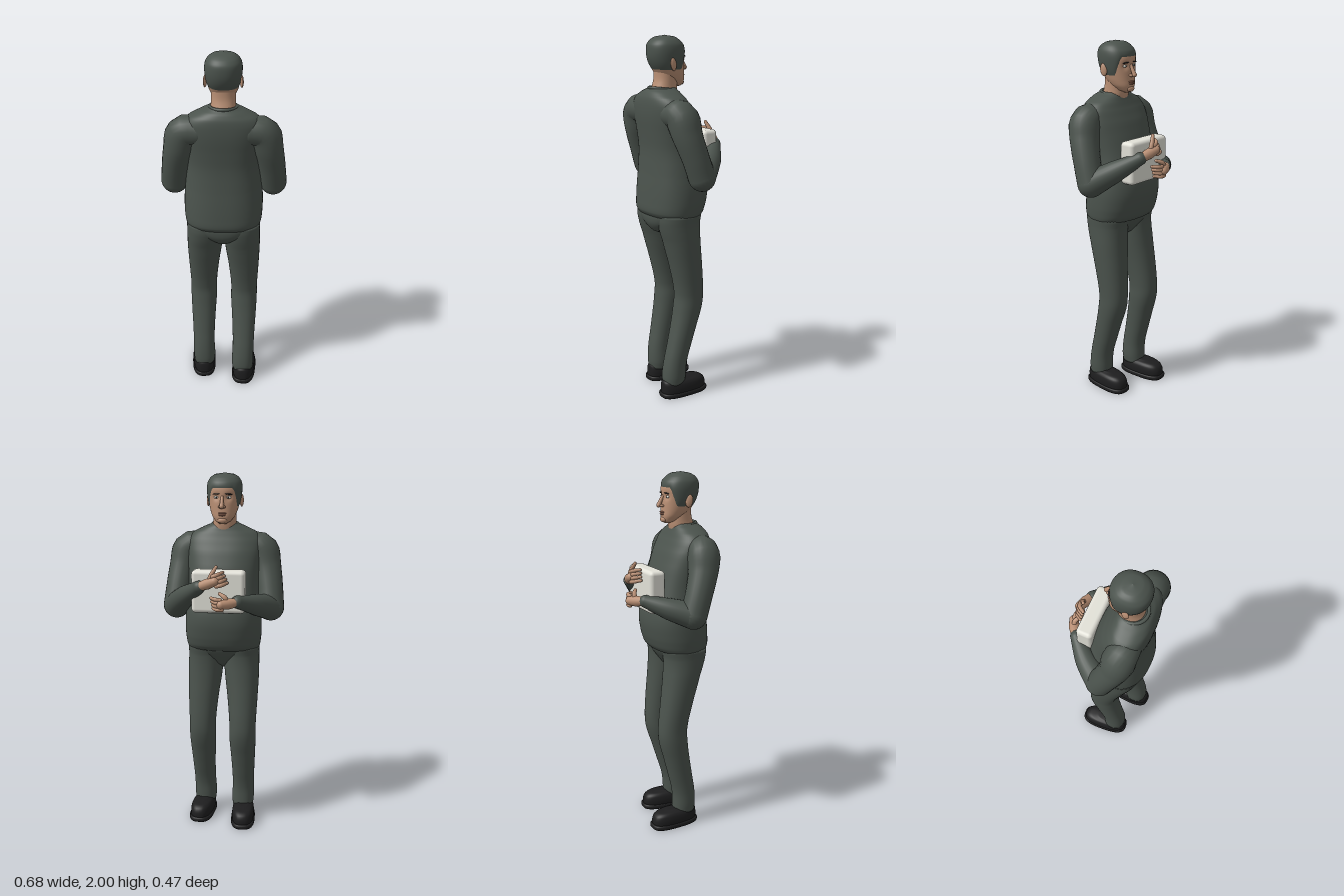
import * as THREE from 'three';
import { RoundedBoxGeometry } from 'three/addons/geometries/RoundedBoxGeometry.js';

const cat = (a, b, c, d, f) =>
  b + 0.5 * f * (c - a + f * (2 * a - 5 * b + 4 * c - d + f * (3 * (b - c) + d - a)));

// Section at height y from rows of [y, centreX, halfWidth, zBack, zFront]
function sectionAt(rows, y) {
  const last = rows.length - 1;
  let i = 0;
  while (i < last - 1 && y > rows[i + 1][0]) i++;
  const f = THREE.MathUtils.clamp((y - rows[i][0]) / (rows[i + 1][0] - rows[i][0]), 0, 1);
  const r = k => rows[THREE.MathUtils.clamp(k, 0, last)];
  return [1, 2, 3, 4].map(c => cat(r(i - 1)[c], r(i)[c], r(i + 1)[c], r(i + 2)[c], f));
}

// Point on a rounded-oval section; angle 0 faces -z
function ovalPoint(rows, y, a, n, pad = 0) {
  const [cx, hw, zb, zf] = sectionAt(rows, y);
  const bend = v => Math.sign(v) * Math.pow(Math.abs(v), 2 / n);
  return [cx + (Math.max(hw, 0) + pad) * bend(Math.sin(a)), y,
    (zb + zf) / 2 - (Math.abs(zb - zf) / 2 + pad) * bend(Math.cos(a))];
}

// Closed-round surface from a point function (row, angle), rows running upward
function skinSurface(count, sides, pointAt, capped) {
  const pos = [], idx = [];
  for (let i = 0; i < count; i++)
    for (let j = 0; j < sides; j++) pos.push(...pointAt(i, j / sides * Math.PI * 2));
  for (let i = 0; i < count - 1; i++)
    for (let j = 0; j < sides; j++) {
      const k = (j + 1) % sides, a = i * sides + j, b = i * sides + k;
      idx.push(a, a + sides, b, b, a + sides, b + sides);
    }
  if (capped) for (const row of [0, count - 1]) {
    const c = [0, 0, 0], base = row * sides, centre = pos.length / 3;
    for (let j = 0; j < sides; j++) for (let k = 0; k < 3; k++) c[k] += pos[(base + j) * 3 + k] / sides;
    pos.push(...c);
    for (let j = 0; j < sides; j++) {
      const a = base + j, b = base + (j + 1) % sides;
      if (row) idx.push(centre, b, a); else idx.push(centre, a, b);
    }
  }
  const g = new THREE.BufferGeometry();
  g.setAttribute('position', new THREE.Float32BufferAttribute(pos, 3));
  g.setIndex(idx);
  g.computeVertexNormals();
  return g;
}

function loft(rows, n = 2.2, sides = 40, steps = 4, warp = p => p) {
  const ys = [];
  for (let i = 0; i < rows.length - 1; i++)
    for (let k = 0; k < steps; k++) ys.push(rows[i][0] + (rows[i + 1][0] - rows[i][0]) * k / steps);
  ys.push(rows[rows.length - 1][0]);
  return skinSurface(ys.length, sides, (i, a) => warp(ovalPoint(rows, ys[i], a, n)), true);
}

export function createModel() {
  const model = new THREE.Group();
  const mat = (name, color, side = THREE.FrontSide) =>
    Object.assign(new THREE.MeshStandardMaterial({ color, side }), { name });
  const cloth = mat('dark grey green', 0x4b534d, THREE.DoubleSide);
  const skin = mat('skin', 0xb98f74);
  const lipTone = mat('lip', 0x9c6c58);
  const black = mat('shoe black', 0x1e1e1f);
  const white = mat('off white', 0xe2e1d8);

  const add = (name, geo, m, parent = model) => {
    const mesh = new THREE.Mesh(geo, m);
    mesh.name = name;
    parent.add(mesh);
    return mesh;
  };
  const ball = (name, m, [x, y, z], [rx, ry, rz], parent = model) => {
    const b = add(name, new THREE.SphereGeometry(1, 24, 16), m, parent);
    b.position.set(x, y, z);
    b.scale.set(rx, ry, rz);
    return b;
  };
  // Tapered tube with round ends through [x, y, z, radius] points
  const limb = (name, m, pts, parent = model, seg = 20, sides = 24) => {
    const group = new THREE.Group();
    group.name = name;
    parent.add(group);
    const curve = new THREE.CatmullRomCurve3(pts.map(p => new THREE.Vector3(p[0], p[1], p[2])));
    const geo = new THREE.TubeGeometry(curve, seg, 1, sides);
    const p = geo.attributes.position, v = new THREE.Vector3();
    for (let i = 0; i < p.count; i++) {
      const u = Math.floor(i / (sides + 1)) / seg, t = u * (pts.length - 1);
      const k = Math.min(Math.floor(t), pts.length - 2), c = curve.getPointAt(u);
      const r = THREE.MathUtils.lerp(pts[k][3], pts[k + 1][3], t - k);
      v.fromBufferAttribute(p, i).sub(c).multiplyScalar(r).add(c);
      p.setXYZ(i, v.x, v.y, v.z);
    }
    add(name + 'Tube', geo, m, group);
    for (const e of [pts[0], pts[pts.length - 1]]) ball(name + 'End', m, e, [e[3], e[3], e[3]], group);
  };

  // Sweater body with a round belly
  add('torso', loft([
    [1.03, 0, .18, .185, -.035], [1.045, 0, .2, .215, -.07], [1.07, 0, .207, .23, -.09],
    [1.12, 0, .212, .23, -.106], [1.2, 0, .212, .225, -.118], [1.28, 0, .205, .218, -.11],
    [1.4, 0, .195, .212, -.08], [1.5, 0, .2, .22, -.05], [1.58, 0, .208, .228, -.02],
    [1.64, 0, .205, .228, .01], [1.68, 0, .175, .222, .03], [1.71, 0, .115, .207, .042],
    [1.73, 0, .072, .185, .05]], 2.35, 56), cloth);
  const collar = add('collar', new THREE.TorusGeometry(.07, .009, 12, 40), cloth);
  collar.position.set(0, 1.722, .115);
  collar.rotation.x = Math.PI / 2 - .1;

  // Trousers
  add('pelvis', loft([[.925, 0, .015, .12, .04], [.95, 0, .06, .175, 0], [.99, 0, .135, .205, -.03],
    [1.03, 0, .187, .214, -.055], [1.06, 0, .2, .212, -.065]]), cloth);
  for (const s of [1, -1]) {
    const side = s > 0 ? 'left' : 'right';
    const shift = y => s > 0 ? 0 : -.06 * (1 - Math.min(1, y));
    const rows = [[.075, .115, .06, .188, .06], [.12, .115, .064, .19, .058], [.2, .117, .062, .18, .05],
      [.3, .118, .064, .157, .02], [.42, .118, .07, .13, -.018], [.52, .117, .075, .112, -.05],
      [.6, .117, .075, .106, -.058], [.75, .113, .085, .132, -.05], [.9, .105, .097, .168, -.04],
      [1, .1, .1, .195, -.04], [1.055, .1, .102, .2, -.05]]
      .map(([y, cx, hw, zb, zf]) => [y, s * cx, hw, zb + shift(y), zf + shift(y)]);
    add(side + 'Leg', loft(rows), cloth);

    // Shoes, toes turned slightly out
    const shoe = new THREE.Group();
    shoe.name = side + 'Shoe';
    shoe.position.set(s * .123, 0, .065 + shift(0));
    shoe.rotation.y = -s * .07;
    model.add(shoe);
    add('sole', loft([[0, 0, .066, .142, -.14], [.006, 0, .069, .145, -.144],
      [.02, 0, .069, .145, -.144], [.026, 0, .064, .14, -.138]], 2.9, 40, 2), black, shoe);
    add('shoeUpper', loft([[.02, 0, .062, .138, -.135], [.05, 0, .064, .138, -.135],
      [.075, 0, .06, .136, -.125], [.09, 0, .05, .132, -.1], [.1, 0, .03, .12, -.04]], 2.6), black, shoe);

    // Sleeves
    const wristY = s > 0 ? 1.415 : 1.34;
    limb(side + 'UpperArm', cloth, [[s * .13, 1.6, .138, .075], [s * .2, 1.593, .132, .088],
      [s * .232, 1.5, .117, .077], [s * .255, 1.38, .08, .072], [s * .265, 1.275, .045, .073]]);
    limb(side + 'Forearm', cloth, [[s * .265, 1.275, .045, .073],
      [s * .195, (1.275 + wristY) / 2, -.06, .058], [s * .103, wristY, -.158, .034]]);
  }

  // Hands folded in front of the case
  const hand = (name, wrist, palm, knuckle, tip, step, thumb) => {
    const g = new THREE.Group();
    g.name = name;
    model.add(g);
    limb('palm', skin, [[...wrist, .023], [...palm, .029], [...knuckle, .024]], g, 12, 16);
    for (let i = 0; i < 4; i++) {
      const o = step.map(v => v * (i - 1.5));
      const at = (p, k) => p.map((v, c) => v + o[c] * k);
      const mid = knuckle.map((v, c) => (v + tip[c]) / 2 + (c === 2 ? -.014 : 0));
      limb('finger', skin, [[...at(knuckle, .9), .012], [...at(mid, 1), .0105], [...at(tip, 1), .0085]], g, 10, 10);
    }
    limb('thumb', skin, [[...palm, .014], [...thumb[0], .013], [...thumb[1], .009]], g, 10, 10);
  };
  hand('leftHand', [.1, 1.418, -.165], [.05, 1.438, -.18], [.015, 1.452, -.19], [-.035, 1.468, -.155],
    [.008, .018, .002], [[.035, 1.48, -.18], [.01, 1.525, -.166]]);
  hand('rightHand', [-.1, 1.34, -.165], [-.058, 1.335, -.192], [-.022, 1.332, -.212], [.028, 1.335, -.185],
    [.004, .018, .002], [[-.04, 1.37, -.195], [-.01, 1.385, -.175]]);

  // Rounded case
  add('case', new RoundedBoxGeometry(.29, .23, .09, 4, .022), white).position.set(.005, 1.385, -.1);

  // Neck and head
  add('neck', loft([[1.64, 0, .08, .19, .05], [1.72, 0, .066, .172, .035],
    [1.77, 0, .063, .156, .035], [1.83, 0, .064, .155, .03]]), skin);
  const headRows = [[1.733, 0, .02, .035, .004], [1.745, 0, .04, .075, -.008], [1.77, 0, .06, .115, -.012],
    [1.8, 0, .073, .148, -.01], [1.84, 0, .083, .172, -.008], [1.88, 0, .088, .186, -.009],
    [1.92, 0, .09, .19, -.006], [1.95, 0, .085, .186, .006], [1.972, 0, .07, .168, .028],
    [1.987, 0, .046, .14, .055], [1.994, 0, 0, .1, .098]];
  const sockets = ([x, y, z]) => {
    const d = ((Math.abs(x) - .033) ** 2 + (y - 1.874) ** 2) / .00035;
    return [x, y, z < .06 ? z + .011 * Math.exp(-d) : z];
  };
  add('head', loft(headRows, 2.2, 64, 5, sockets), skin);

  // Hair shell with a shaped hairline: high at the forehead, low at the nape
  const hairline = a => {
    const t = THREE.MathUtils.smoothstep(Math.min(a, 2 * Math.PI - a), .55, 1.25);
    return 1.922 - .098 * t;
  };
  add('hair', skinSurface(31, 64, (i, a) => {
    const u = 1 - i / 30, y = 1.994 - (1.994 - hairline(a)) * u * u;
    const pad = .006 * (1 - u ** 10);
    const p = ovalPoint(headRows, y, a, 2.2, pad * Math.min(1, u * 4));
    return [p[0], y + pad * (1 - u), p[2]];
  }, false), cloth);

  // Face
  limb('nose', skin, [[0, 1.875, -.006, .008], [0, 1.85, -.019, .01], [0, 1.828, -.03, .0125]], model, 10, 16);
  ball('upperLip', lipTone, [0, 1.791, -.011], [.023, .005, .009]);
  ball('lowerLip', lipTone, [0, 1.781, -.011], [.019, .006, .009]);
  ball('chin', skin, [0, 1.752, -.003], [.026, .016, .014]);
  for (const s of [1, -1]) {
    ball('nostril', skin, [s * .011, 1.825, -.016], [.009, .008, .012]);
    ball('eye', white, [s * .033, 1.873, .008], [.014, .007, .009]);
    ball('pupil', black, [s * .032, 1.873, .0025], [.005, .0055, .005]);
    const brow = ball('eyebrow', black, [s * .035, 1.891, -.001], [.02, .0035, .006]);
    brow.rotation.set(0, -s * .25, -s * .1);
    const ear = ball('ear', skin, [s * .092, 1.852, .105], [.009, .034, .02]);
    ear.rotation.set(.15, s * .25, 0);
  }
  return model;
}
